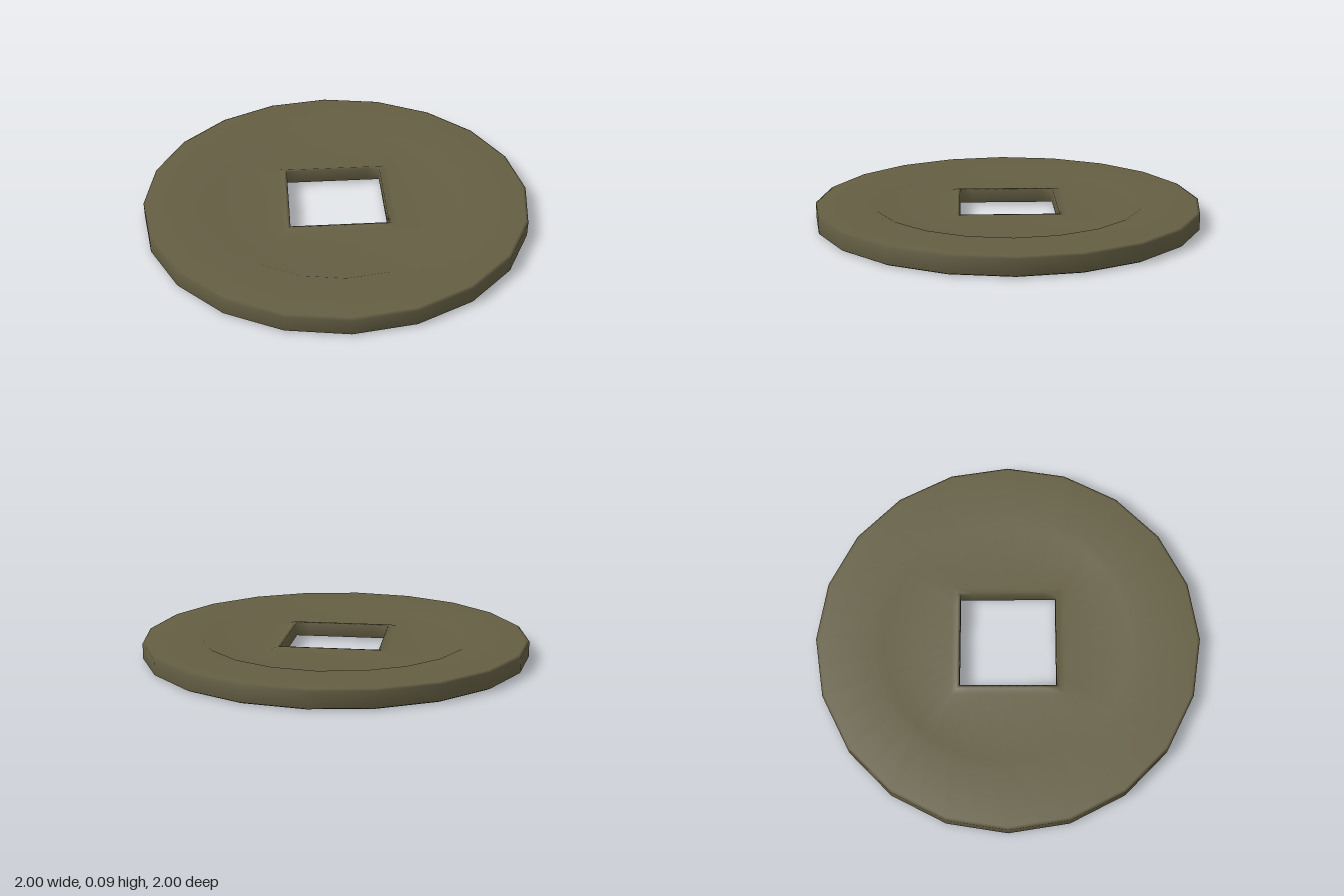
import * as THREE from 'three';

// Unit 20-sided outline and unit square outline, sampled at the same angles
const SIDES = 20, N = SIDES * 2;
const polygonRadius = i => (i % 2 ? Math.cos(Math.PI / SIDES) : 1);
const squareRadius = a => 1 / Math.max(Math.abs(Math.cos(a)), Math.abs(Math.sin(a)));

export function createModel() {
  const bronze = new THREE.MeshStandardMaterial({ color: 0x645e43 });
  bronze.name = 'aged bronze';

  // Upper half of the cross-section, hole to outer edge: [size, y above middle, square?]
  const H = 0.0475;
  const upper = [
    [0.25, 0.036, true],   // lip at the square hole
    [0.265, 0.038, true],
    [0.295, 0.024, true],  // foot of the lip
    [0.66, 0.026, false],  // recessed field
    [0.70, H, false],      // inner edge of the rim
    [0.985, H, false],
    [1.0, H - 0.008, false],
  ];
  // Mirror for the underside, making one closed loop
  const rings = [...upper, ...upper.map(([s, y, q]) => [s, -y, q]).reverse()];

  const positions = [], index = [];
  rings.forEach(([size, y, square], j) => {
    const next = (j + 1) % rings.length;
    for (let i = 0; i < N; i++) {
      const a = (i / N) * Math.PI * 2;
      const r = size * (square ? squareRadius(a) : polygonRadius(i));
      positions.push(r * Math.cos(a), H + y, r * Math.sin(a));
      const k = (i + 1) % N;
      const p = j * N + i, q = j * N + k, s = next * N + i, t = next * N + k;
      index.push(p, q, s, q, t, s);
    }
  });

  const geometry = new THREE.BufferGeometry();
  geometry.setAttribute('position', new THREE.Float32BufferAttribute(positions, 3));
  geometry.setIndex(index);
  geometry.computeVertexNormals();

  const coin = new THREE.Mesh(geometry, bronze);
  coin.name = 'coin';
  const group = new THREE.Group();
  group.name = 'squareHoledCoin';
  group.add(coin);
  return group;
}
